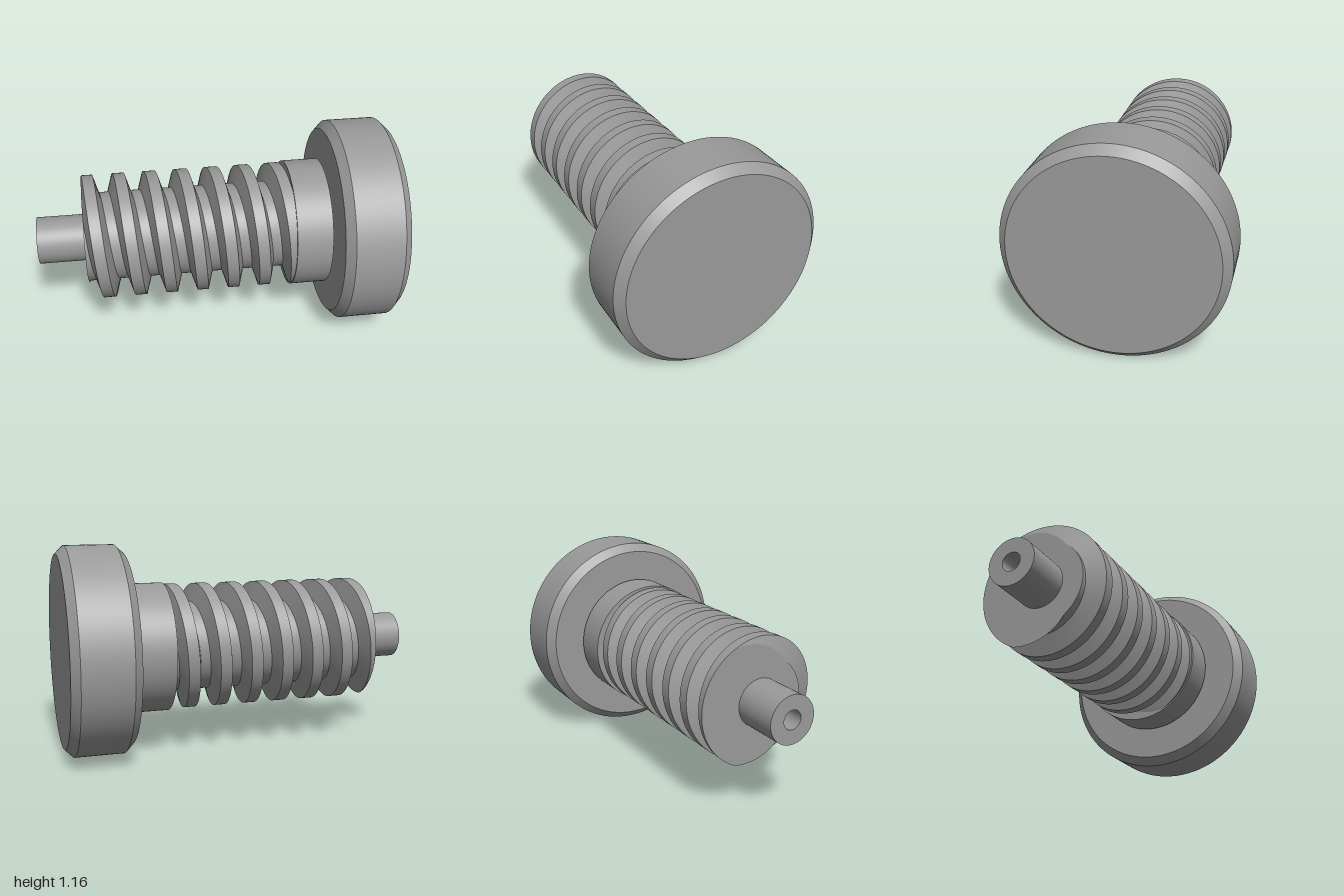
import * as THREE from 'three';
import { mergeGeometries } from 'three/addons/utils/BufferGeometryUtils.js';

const AXIS_Y = 0.578;
const SEGMENTS = 128;

// Turned part about the x axis; each [radius, x] span is its own band so edges stay sharp
function turned(name, profile, material) {
  const bands = [];
  for (let i = 0; i < profile.length - 1; i++) {
    const ends = [profile[i], profile[i + 1]].map(([r, x]) => new THREE.Vector2(r, x));
    bands.push(new THREE.LatheGeometry(ends, SEGMENTS));
  }
  const geometry = mergeGeometries(bands);
  geometry.rotateZ(-Math.PI / 2);
  const mesh = new THREE.Mesh(geometry, material);
  mesh.name = name;
  return mesh;
}

// Single-start trapezoidal thread, cut flat at both ends
function threadGeometry() {
  const x0 = -0.735, x1 = 0.425, pitch = 0.1775, crestAtTop = -0.513;
  const core = 0.25, outer = 0.352, crestHalf = 0.032, baseHalf = 0.062;
  const steps = 192;
  const shift = (j) => (pitch * j) / steps;
  const radius = (x, j) => {
    const turns = (x - crestAtTop - shift(j)) / pitch;
    const d = Math.abs(turns - Math.round(turns)) * pitch;
    const t = THREE.MathUtils.clamp((baseHalf - d) / (baseHalf - crestHalf), 0, 1);
    return core + (outer - core) * t;
  };
  const positions = [], index = [];
  const push = (x, j) => {
    const a = (j / steps) * Math.PI * 2, r = radius(x, j);
    positions.push(x, r * Math.cos(a), r * Math.sin(a));
  };

  // Corner lines of the profile, repeated along the axis
  const corners = [];
  for (let n = -4; n <= 8; n++) {
    for (const c of [-baseHalf, -crestHalf, crestHalf, baseHalf]) {
      corners.push(crestAtTop + n * pitch + c);
    }
  }

  // One helical strip per crest, flank and root
  for (let k = 0; k < corners.length - 1; k++) {
    const start = positions.length / 3;
    for (let j = 0; j <= steps; j++) {
      for (const c of [corners[k], corners[k + 1]]) {
        push(THREE.MathUtils.clamp(c + shift(j), x0, x1), j);
      }
    }
    for (let j = 0; j < steps; j++) {
      const wide = [j, j + 1].some((s) =>
        Math.min(corners[k + 1] + shift(s), x1) - Math.max(corners[k] + shift(s), x0) > 1e-6);
      if (!wide) continue;
      const a = start + 2 * j;
      index.push(a, a + 2, a + 1, a + 2, a + 3, a + 1);
    }
  }

  // Flat end face
  const centre = positions.length / 3;
  positions.push(x0, 0, 0);
  for (let j = 0; j <= steps; j++) push(x0, j);
  for (let j = 0; j < steps; j++) index.push(centre, centre + j + 2, centre + j + 1);

  const geometry = new THREE.BufferGeometry();
  geometry.setAttribute('position', new THREE.Float32BufferAttribute(positions, 3));
  geometry.setIndex(index);
  geometry.computeVertexNormals();
  return geometry;
}

export function createModel() {
  const steel = new THREE.MeshStandardMaterial({ color: 0x9a9a9a });
  steel.name = 'grey steel';

  const model = new THREE.Group();
  model.name = 'thumbScrew';

  // Pilot pin with a blind hole in its tip
  model.add(turned('pilotPin', [[0, -0.8], [0.052, -0.8], [0.052, -1], [0.132, -1], [0.132, -0.73]], steel));

  const thread = new THREE.Mesh(threadGeometry(), steel);
  thread.name = 'thread';
  model.add(thread);

  // Plain collar, narrow neck and chamfered head
  model.add(turned('collar', [[0, 0.42], [0.36, 0.42], [0.36, 0.62], [0, 0.62]], steel));
  model.add(turned('neck', [[0.222, 0.615], [0.222, 0.645]], steel));
  model.add(turned('head', [[0, 0.641], [0.533, 0.641], [0.578, 0.686], [0.578, 0.955], [0.533, 1], [0, 1]], steel));

  model.position.y = AXIS_Y;
  const root = new THREE.Group();
  root.name = 'screw';
  root.add(model);
  return root;
}
